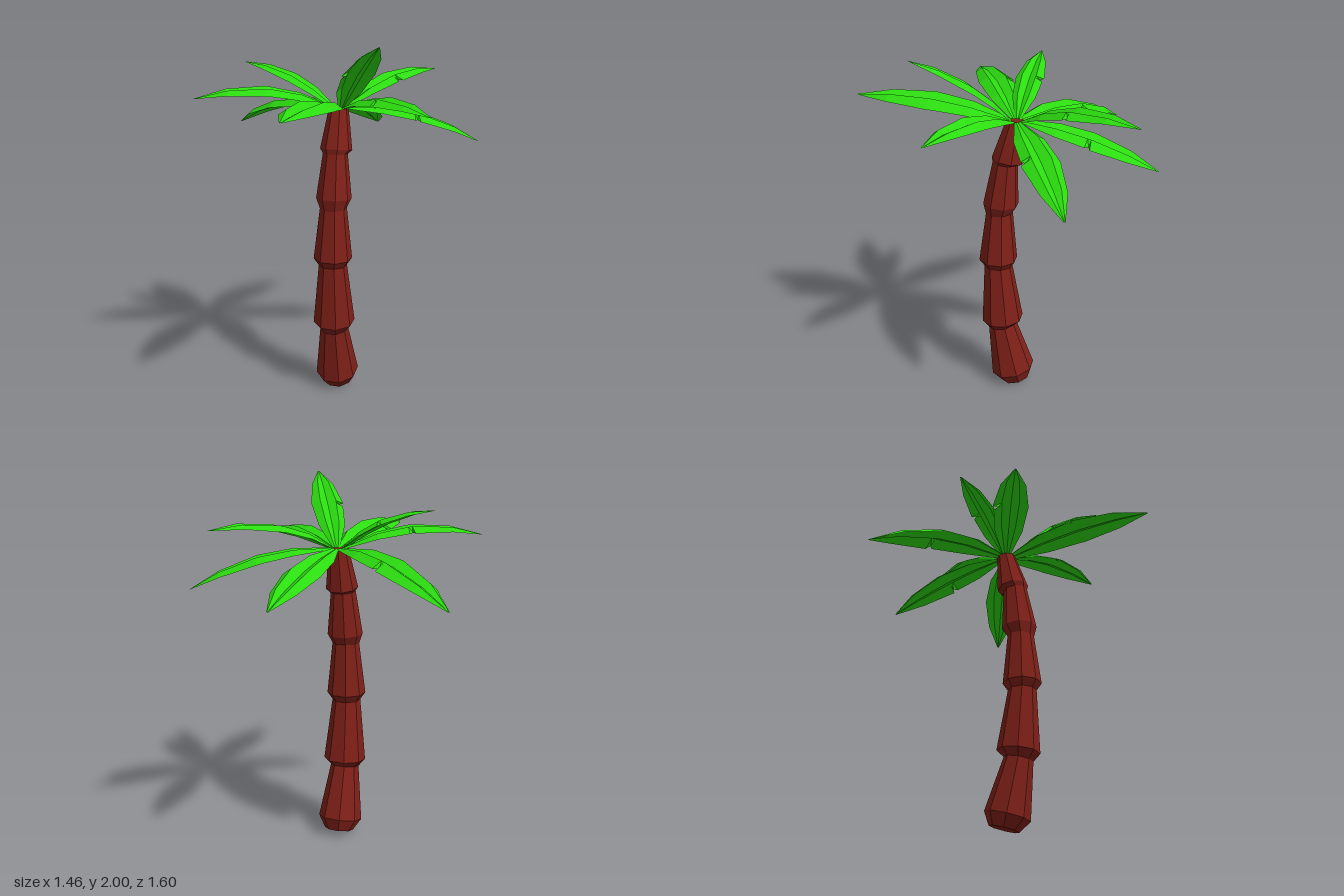
import * as THREE from 'three';

const bark = new THREE.MeshStandardMaterial({ color: 0x7f2018, flatShading: true });
const green = new THREE.MeshStandardMaterial({ color: 0x2cdc10, flatShading: true, side: THREE.DoubleSide });

const CROWN = new THREE.Vector3(0.04, 1.62, -0.06);

// Trunk rings from bottom to top: [centre y, centre z, half width, slope along z]
const RINGS = [
  [0.02, -0.065, 0.073, -0.27],
  [0.085, -0.046, 0.111, -0.26],
  [0.38, 0.017, 0.072, -0.2],
  [0.42, 0.016, 0.107, -0.1],
  [0.765, 0.04, 0.072, 0],
  [0.805, 0.04, 0.098, 0],
  [1.09, 0.033, 0.068, -0.05],
  [1.145, 0.024, 0.089, 0.07],
  [1.385, 0, 0.062, 0.12],
  [1.405, -0.015, 0.08, 0.19],
  [1.62, -0.058, 0.049, 0.1],
];

// Leaf outline from base to tip: [t, left width, right width]; the right edge has a notch
const OUTLINE = [
  [0, 0.2, 0.2],
  [0.25, 0.8, 0.8],
  [0.47, 0.95, 0.93],
  [0.495, 0.97, 0.7],
  [0.51, 0.98, 1],
  [0.78, 0.68, 0.68],
  [1, 0.04, 0.04],
];

// Leaves: [tip x, tip y, tip z, half width, upward bow]
const LEAVES = [
  [0.05, 1.41, -0.8, 0.107, 0.03],
  [0.41, 1.76, -0.72, 0.092, 0.055],
  [0.73, 1.41, -0.43, 0.1, 0.045],
  [0.605, 1.66, 0.27, 0.095, 0.05],
  [0.375, 2.0, 0.395, 0.09, 0.03],
  [0.035, 1.7, 0.8, 0.122, 0.035],
  [-0.64, 1.69, 0.3, 0.1, 0.06],
  [-0.73, 1.42, -0.5, 0.115, 0.06],
  [-0.51, 1.84, -0.085, 0.078, 0.04],
];

// Eight-sided column whose rings are resized, shifted and tilted
function makeTrunk() {
  const rows = RINGS.length - 1;
  const geo = new THREE.CylinderGeometry(1, 1, 1, 8, rows, false, Math.PI / 8);
  const p = geo.attributes.position;
  for (let i = 0; i < p.count; i++) {
    const [y, z, half, slope] = RINGS[Math.round((p.getY(i) + 0.5) * rows)];
    const r = half / Math.cos(Math.PI / 8);
    const dz = p.getZ(i) * r;
    p.setXYZ(i, 0.035 + p.getX(i) * r, Math.max(0, y + dz * slope), z + dz);
  }
  geo.computeVertexNormals();
  const mesh = new THREE.Mesh(geo, bark);
  mesh.name = 'trunk';
  return mesh;
}

// Sheet folded into two ridges with a groove along the middle
function makeLeaf([x, y, z, width, bow]) {
  const tip = new THREE.Vector3(x, y, z);
  const out = new THREE.Vector3(x - CROWN.x, 0, z - CROWN.z).normalize();
  const base = CROWN.clone().addScaledVector(out, 0.03);
  const right = out.clone().cross(new THREE.Vector3(0, 1, 0));
  const normal = right.clone().cross(tip.clone().sub(base)).normalize();
  const rows = OUTLINE.length - 1;
  const geo = new THREE.PlaneGeometry(2, 1, 4, rows);
  const p = geo.attributes.position;
  const v = new THREE.Vector3();
  for (let i = 0; i < p.count; i++) {
    const u = p.getX(i);
    const [t, left, rightWidth] = OUTLINE[Math.round((p.getY(i) + 0.5) * rows)];
    // Only the outer edge follows the notch; the inner folds stay smooth
    const w = width * (u === 1 ? rightWidth : left);
    const fold = Math.abs(u) === 0.5 ? 0.26 : Math.abs(u) === 1 ? -0.08 : 0;
    v.lerpVectors(base, tip, t)
      .addScaledVector(right, u * w)
      .addScaledVector(normal, bow * 4 * t * (1 - t) + fold * w);
    p.setXYZ(i, v.x, v.y, v.z);
  }
  geo.computeVertexNormals();
  const mesh = new THREE.Mesh(geo, green);
  mesh.name = 'leaf';
  return mesh;
}

export function createModel() {
  const model = new THREE.Group();
  model.name = 'palmTree';
  const crown = new THREE.Group();
  crown.name = 'crown';
  for (const leaf of LEAVES) crown.add(makeLeaf(leaf));
  model.add(makeTrunk(), crown);
  return model;
}
